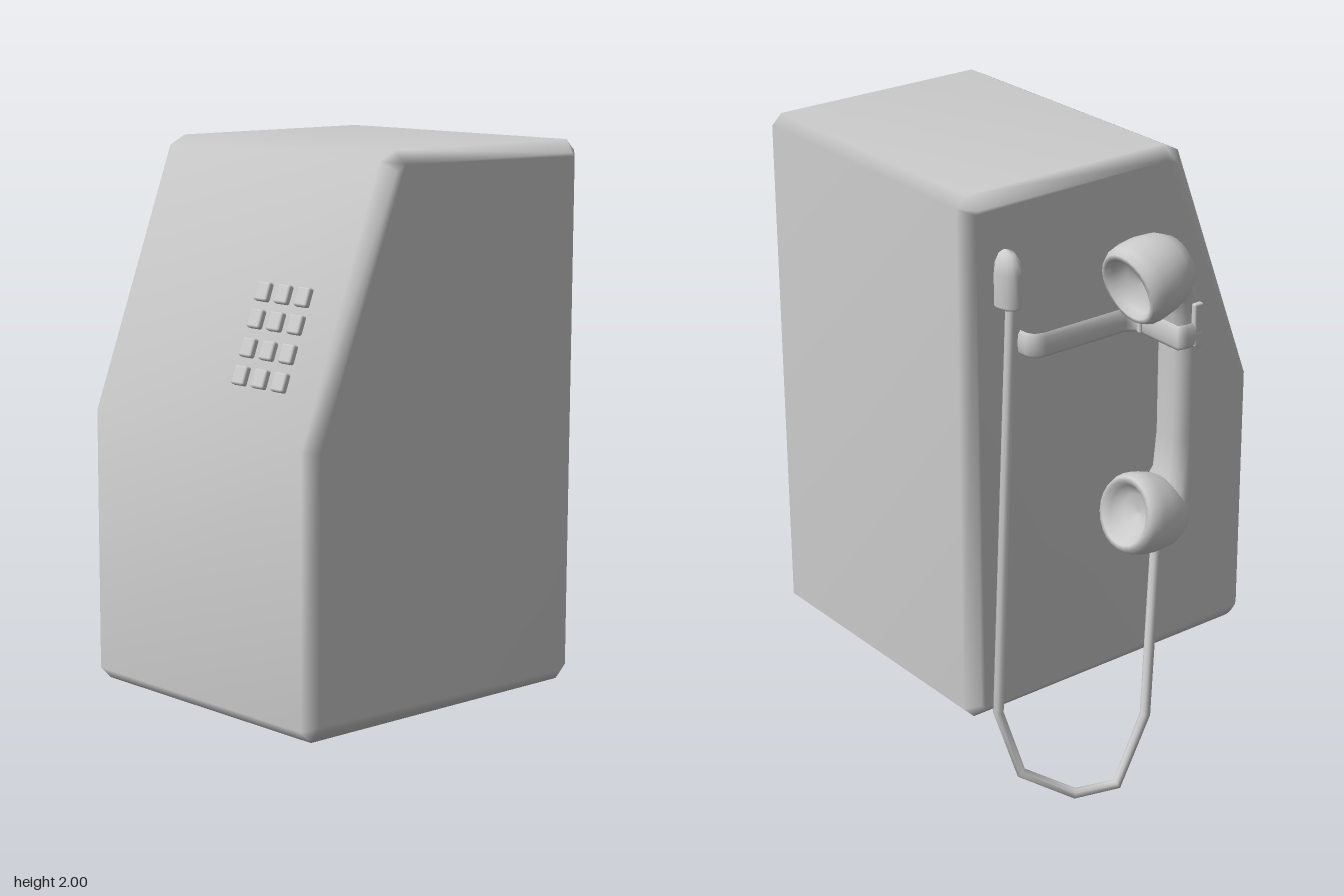
import * as THREE from 'three';
import { mergeVertices } from 'three/addons/utils/BufferGeometryUtils.js';
import { RoundedBoxGeometry } from 'three/addons/geometries/RoundedBoxGeometry.js';

const grey = new THREE.MeshStandardMaterial({ color: 0xcccccc });
const V = (p) => new THREE.Vector3(...p);

function add(parent, name, geometry, x = 0, y = 0, z = 0) {
  const mesh = new THREE.Mesh(geometry, grey);
  mesh.name = name;
  mesh.position.set(x, y, z);
  parent.add(mesh);
  return mesh;
}

// Weld all corners so the shading runs softly across the bevels
function smooth(geometry) {
  geometry.deleteAttribute('normal');
  geometry.deleteAttribute('uv');
  const welded = mergeVertices(geometry, 1e-4);
  welded.computeVertexNormals();
  return welded;
}

// Straight-segment path with mitred ring directions at each corner
class Polyline extends THREE.Curve {
  constructor(points) {
    super();
    this.points = points.map(V);
  }
  getPoint(t, target = new THREE.Vector3()) {
    const n = this.points.length - 1;
    const i = Math.min(Math.floor(t * n + 1e-6), n - 1);
    return target.lerpVectors(this.points[i], this.points[i + 1], t * n - i);
  }
  getPointAt(t, target) {
    return this.getPoint(t, target);
  }
  getTangentAt(t, target = new THREE.Vector3()) {
    const p = this.points, n = p.length - 1, i = Math.round(t * n);
    target.set(0, 0, 0);
    if (i > 0) target.add(p[i].clone().sub(p[i - 1]).normalize());
    if (i < n) target.add(p[i + 1].clone().sub(p[i]).normalize());
    return target.normalize();
  }
}

const polyTube = (points, radius, sides) =>
  new THREE.TubeGeometry(new Polyline(points), points.length - 1, radius, sides);

// Cabinet: side profile (z, y) extruded across x with chamfered edges
function cabinet() {
  const bevel = 0.04;
  const profile = [[0.54, 0.25], [0.58, 0.29], [0.58, 1.14], [0.27, 1.97], [0.21, 2],
    [-0.54, 2], [-0.575, 1.965], [-0.575, 0.29], [-0.535, 0.25]];
  const shape = new THREE.Shape(profile.map(([z, y]) => new THREE.Vector2(-z, y)));
  const geometry = new THREE.ExtrudeGeometry(shape, {
    depth: 1.055 - 2 * bevel, bevelThickness: bevel, bevelSize: bevel,
    bevelOffset: -bevel, bevelSegments: 1,
  });
  geometry.rotateY(Math.PI / 2).translate(-0.37 + bevel, 0, 0);
  return smooth(geometry);
}

// Handset grip: a cylinder shaped by half width, depth centre and half depth
function grip() {
  const rows = [[0.9, 0.1, 0.02, 0.06], [0.96, 0.09, 0.055, 0.06], [1.03, 0.07, 0.082, 0.055],
    [1.15, 0.066, 0.088, 0.05], [1.45, 0.066, 0.088, 0.05], [1.57, 0.07, 0.082, 0.055],
    [1.64, 0.09, 0.055, 0.06], [1.7, 0.1, 0.02, 0.06]];
  const last = rows.length - 1;
  const geometry = new THREE.CylinderGeometry(1, 1, 1, 16, last, true);
  const pos = geometry.attributes.position;
  for (let i = 0; i < pos.count; i++) {
    const [y, w, c, d] = rows[Math.round((pos.getY(i) + 0.5) * last)];
    const z = pos.getZ(i);
    const x = Math.sign(pos.getX(i)) * Math.pow(Math.abs(pos.getX(i)), 0.7);
    pos.setXYZ(i, x * w * (z > 0 ? 1 - 0.15 * z : 1), y, c + d * z);
  }
  return smooth(geometry);
}

export function createModel() {
  const model = new THREE.Group();
  model.name = 'payPhone';
  add(model, 'cabinet', cabinet());

  // Keypad on the sloping front
  const keypad = new THREE.Group();
  keypad.name = 'keypad';
  model.add(keypad);
  const slope = Math.atan2(0.31, 0.83);
  for (const y of [1.565, 1.485, 1.4, 1.318]) {
    for (const x of [0.307, 0.397, 0.486]) {
      const z = 0.27 + (1.97 - y) * Math.tan(slope);
      add(keypad, 'key', new RoundedBoxGeometry(0.057, 0.06, 0.036, 1, 0.007), x, y, z).rotation.x = -slope;
    }
  }

  // Feet
  for (const [x, z] of [[-0.21, 0.35], [-0.09, -0.34], [0.46, 0.35], [0.385, -0.34]]) {
    add(model, 'foot', new THREE.CylinderGeometry(0.044, 0.044, 0.08, 12), x, 0.245, z);
  }

  // Handset: two hollow cups turned slightly towards each other, joined by a grip
  const handset = new THREE.Group();
  handset.name = 'handset';
  handset.position.x = -0.56;
  model.add(handset);
  const cupProfile = [[0, -0.1], [0.045, -0.096], [0.085, -0.075], [0.112, -0.035], [0.126, 0.02],
    [0.13, 0.07], [0.127, 0.1], [0.115, 0.121], [0.1, 0.123], [0.088, 0.1], [0.06, 0.072], [0, 0.06]]
    .map(([r, y]) => new THREE.Vector2(r, y));
  for (const [name, y, tilt] of [['earpiece', 1.705, -0.25], ['mouthpiece', 0.9, 0.25]]) {
    add(handset, name, new THREE.LatheGeometry(cupProfile, 24), 0, y, 0).rotation.x = -Math.PI / 2 + tilt;
  }
  add(handset, 'grip', grip());

  // Cradle: flat arm from the cabinet side, ending in a fork around the grip
  const cradle = new THREE.Group();
  cradle.name = 'cradle';
  model.add(cradle);
  const arm = polyTube([[-0.36, 0, -0.375], [-0.4, 0, -0.372], [-0.422, 0, -0.36], [-0.431, 0, -0.33],
    [-0.431, 0, -0.02], [-0.45, 0, 0.015], [-0.64, 0, 0.015], [-0.647, 0, 0.04], [-0.647, 0, 0.095]], 0.011, 8);
  arm.scale(1, 3.6, 1);
  arm.computeVertexNormals();
  add(cradle, 'cradleArm', arm, 0, 1.51, 0);
  for (const x of [-0.647, -0.473]) {
    add(cradle, 'prong', new RoundedBoxGeometry(0.02, 0.14, 0.035, 1, 0.006), x, 1.54, 0.085);
  }
  add(cradle, 'prongBase', new RoundedBoxGeometry(0.02, 0.07, 0.1, 1, 0.006), -0.473, 1.51, 0.05);

  // Cord and the boot where it enters the cabinet
  add(model, 'cord', polyTube([[-0.565, 0.82, 0.01], [-0.655, 0.25, -0.1], [-0.657, 0.035, -0.215],
    [-0.6, 0.021, -0.34], [-0.51, 0.11, -0.485], [-0.452, 0.32, -0.53], [-0.405, 1.67, -0.435]], 0.017, 8));
  const bootProfile = [[0, 0], [0.034, 0], [0.04, 0.01], [0.04, 0.11], [0.036, 0.145], [0.022, 0.17], [0, 0.18]]
    .map(([r, y]) => new THREE.Vector2(r, y));
  add(model, 'cordBoot', new THREE.LatheGeometry(bootProfile, 16), -0.38, 1.645, -0.433).scale.x = 1.5;
  return model;
}
